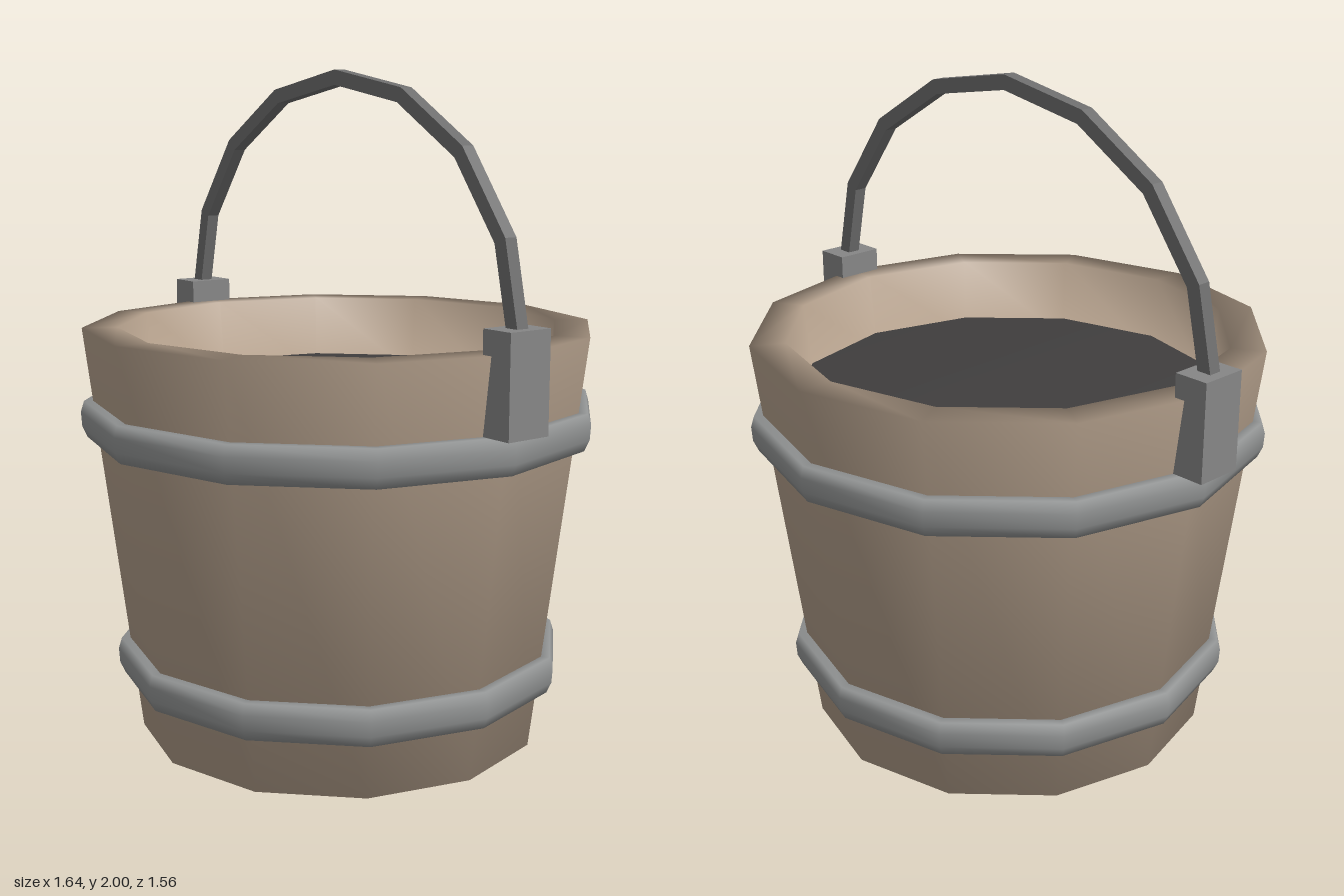
import * as THREE from 'three';

const SIDES = 12;
const mat = (color) => new THREE.MeshStandardMaterial({ color });
const wood = mat(0xb39f8b), hoopMetal = mat(0x929494), bracketMetal = mat(0x868686);
const handleMetal = mat(0x6e6e6e), dark = mat(0x403e3e);

// Twelve-sided, smooth-shaded solid from a profile of [radius, height] points
function turned(name, profile, material) {
  const points = profile.map(([r, y]) => new THREE.Vector2(r, y));
  const mesh = new THREE.Mesh(new THREE.LatheGeometry(points, SIDES), material);
  mesh.name = name;
  return mesh;
}

// Rounded metal band that leans with the tapered wall
function hoop(name, y, r) {
  const h = 0.055;
  return turned(name, [
    [r - 0.08, y - h], [r - 0.018, y - h], [r - 0.003, y - 0.022],
    [r, y + 0.022], [r - 0.01, y + h], [r - 0.08, y + h], [r - 0.08, y - h],
  ], hoopMetal);
}

// Faceted half-ellipse bail with a square section
function handle() {
  const steps = 8, half = 0.022, outer = [], inner = [];
  for (let i = 0; i <= steps; i++) {
    const a = (i / steps) * Math.PI;
    const c = Math.cos(a), s = Math.sin(a);
    outer.push(new THREE.Vector2((0.778 + half) * c, 1.28 + (0.698 + half) * s));
    inner.unshift(new THREE.Vector2((0.778 - half) * c, 1.28 + (0.698 - half) * s));
  }
  const geometry = new THREE.ExtrudeGeometry(new THREE.Shape([...outer, ...inner]), {
    depth: 0.04, bevelEnabled: false,
  });
  geometry.translate(0, 0, -0.02);
  const mesh = new THREE.Mesh(geometry, handleMetal);
  mesh.name = 'handle';
  return mesh;
}

export function createModel() {
  const group = new THREE.Group();
  group.name = 'bucket';

  // Thick tapered wall with base and rim
  group.add(turned('woodenBody', [
    [0, 0], [0.615, 0], [0.77, 1.25], [0.665, 1.25], [0.64, 1.0], [0, 1.0],
  ], wood));

  // Dark contents below the rim
  group.add(turned('contents', [[0.642, 1.0], [0.646, 1.06], [0, 1.06]], dark));

  group.add(hoop('upperHoop', 0.975, 0.78));
  group.add(hoop('lowerHoop', 0.23, 0.687));

  // Brackets straddling the rim on each side
  for (const side of [-1, 1]) {
    const bracket = new THREE.Mesh(new THREE.BoxGeometry(0.105, 0.29, 0.144), bracketMetal);
    bracket.name = side > 0 ? 'leftBracket' : 'rightBracket';
    bracket.position.set(side * 0.77, 1.175, 0);
    group.add(bracket);
  }

  group.add(handle());
  return group;
}
